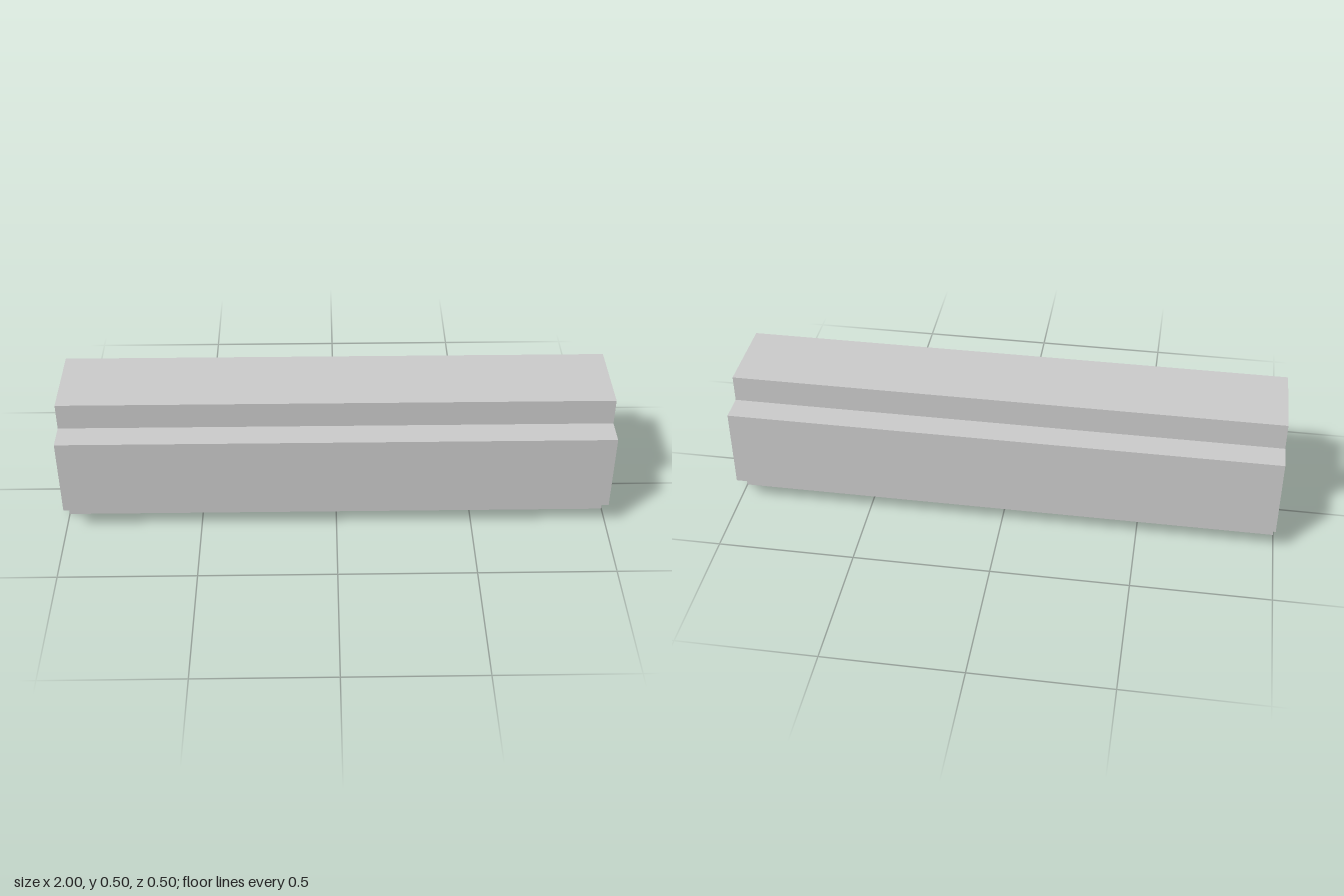
import * as THREE from 'three';

const LENGTH = 2;      // along x
const WIDTH = 0.3;     // side of the square opening, and width of each plank
const THICKNESS = 0.1;
const CENTRE_Y = WIDTH / 2 + THICKNESS;

export function createModel() {
  const model = new THREE.Group();
  model.name = 'plankDuct';
  const material = new THREE.MeshStandardMaterial({ color: 0xcccccc, flatShading: true });
  const plank = new THREE.BoxGeometry(LENGTH, THICKNESS, WIDTH);

  // Four equal planks around a square opening, meeting only at their inner edges
  ['topPlank', 'frontPlank', 'bottomPlank', 'backPlank'].forEach((name, i) => {
    const angle = i * Math.PI / 2;
    const radius = (WIDTH + THICKNESS) / 2;
    const mesh = new THREE.Mesh(plank, material);
    mesh.name = name;
    mesh.position.set(0, CENTRE_Y + radius * Math.cos(angle), radius * Math.sin(angle));
    mesh.rotation.x = angle;
    model.add(mesh);
  });

  return model;
}
